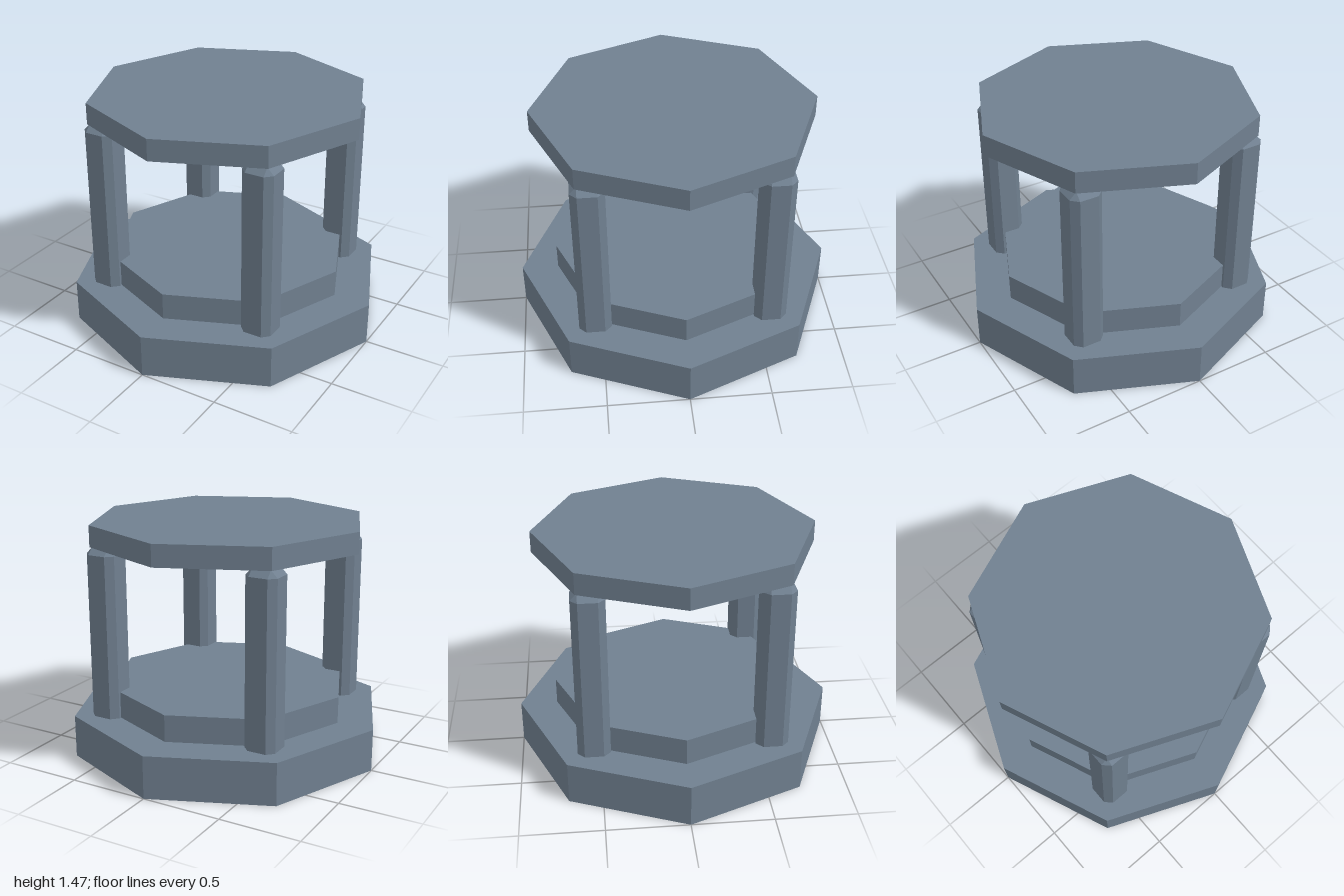
import * as THREE from 'three';
import { ConvexGeometry } from 'three/addons/geometries/ConvexGeometry.js';

export function createModel() {
  const model = new THREE.Group();
  model.name = 'pavilion';
  const stone = new THREE.MeshStandardMaterial({ color: 0x708090, flatShading: true });
  stone.name = 'slate stone';

  // Octagonal slab with corners on the x and z axes
  function slab(name, radius, y0, y1) {
    const mesh = new THREE.Mesh(new THREE.CylinderGeometry(radius, radius, y1 - y0, 8), stone);
    mesh.name = name;
    mesh.position.y = (y0 + y1) / 2;
    model.add(mesh);
  }
  slab('base', 1, 0, 0.267);
  slab('innerStep', 0.767, 0.267, 0.435);
  slab('roof', 0.865, 1.337, 1.47);

  // Square pillar with every edge chamfered; its foot is sunk in the base
  const half = 0.1, inset = 0.058, bottom = 0.2, top = 1.338, bevel = 0.042;
  const points = [];
  for (const sx of [-1, 1]) for (const sz of [-1, 1]) {
    for (const y of [bottom + bevel, top - bevel]) {
      points.push(new THREE.Vector3(sx * half, y, sz * inset));
      points.push(new THREE.Vector3(sx * inset, y, sz * half));
    }
    for (const y of [bottom, top]) points.push(new THREE.Vector3(sx * inset, y, sz * inset));
  }
  const pillarGeometry = new ConvexGeometry(points);

  // One pillar at each diagonal corner of the inner step
  for (const sx of [-1, 1]) for (const sz of [-1, 1]) {
    const pillar = new THREE.Mesh(pillarGeometry, stone);
    pillar.name = (sz > 0 ? 'front' : 'back') + (sx > 0 ? 'Left' : 'Right') + 'Pillar';
    pillar.position.set(sx * 0.542, 0, sz * 0.542);
    model.add(pillar);
  }
  return model;
}
